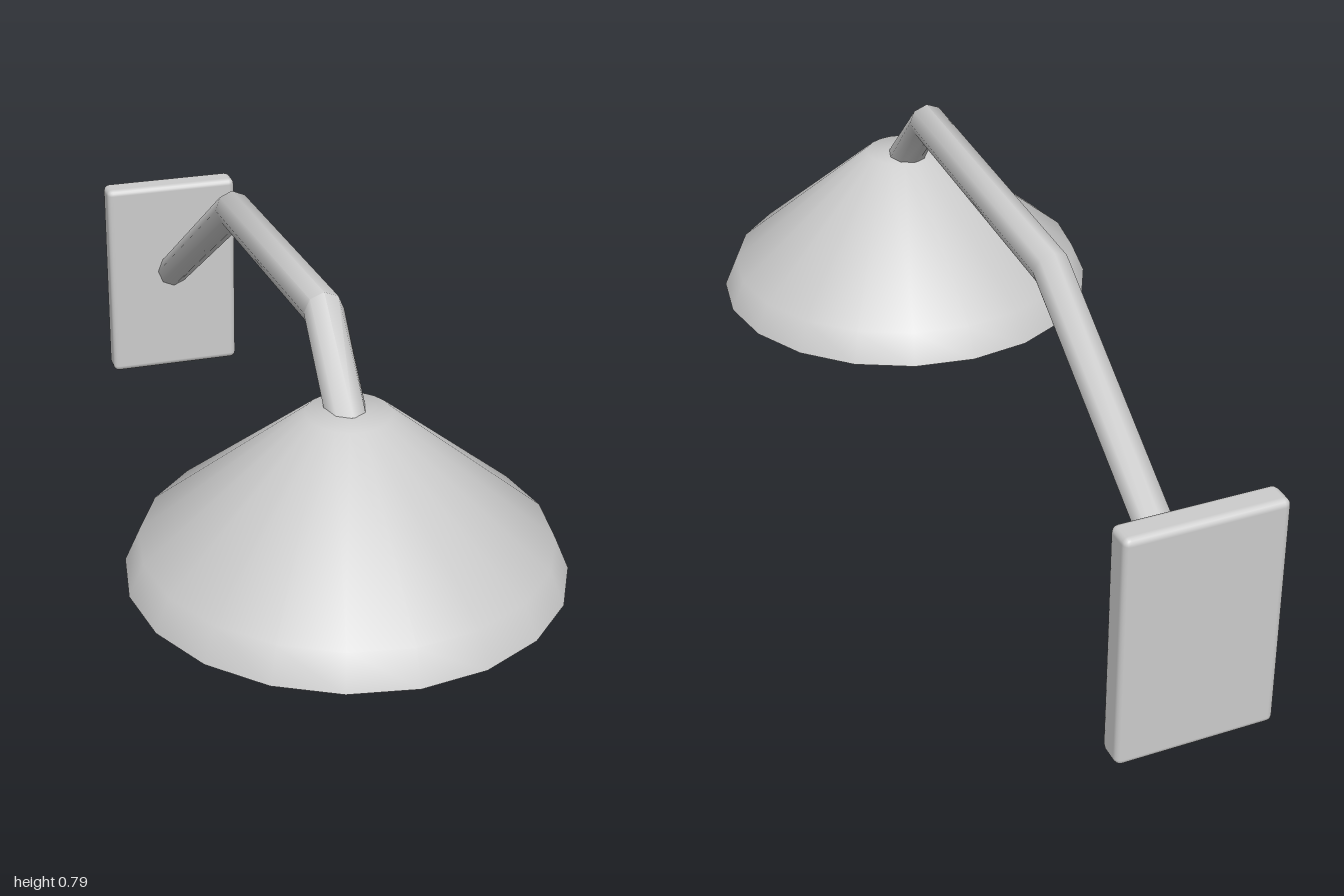
import * as THREE from 'three';
import { toCreasedNormals } from 'three/addons/utils/BufferGeometryUtils.js';
import { RoundedBoxGeometry } from 'three/addons/geometries/RoundedBoxGeometry.js';

// Bent tube lofted through octagonal rings; each ring is [z top, y top, z bottom, y bottom]
function bentTube(rings, halfWidth, sides) {
  const positions = [];
  const index = [];
  for (const [zt, yt, zb, yb] of rings) {
    for (let i = 0; i < sides; i++) {
      const a = (i / sides) * Math.PI * 2;
      const s = Math.sin(a) / 2;
      positions.push(halfWidth * Math.cos(a), (yt + yb) / 2 + (yt - yb) * s, (zt + zb) / 2 + (zt - zb) * s);
    }
  }
  for (let k = 0; k < rings.length - 1; k++) {
    for (let i = 0; i < sides; i++) {
      const a = k * sides + i;
      const b = k * sides + ((i + 1) % sides);
      index.push(a, b, b + sides, a, b + sides, a + sides);
    }
  }
  // Fan caps at both ends
  const last = (rings.length - 1) * sides;
  for (let i = 1; i < sides - 1; i++) {
    index.push(0, i + 1, i, last, last + i, last + i + 1);
  }
  const geometry = new THREE.BufferGeometry();
  geometry.setAttribute('position', new THREE.Float32BufferAttribute(positions, 3));
  geometry.setIndex(index);
  return toCreasedNormals(geometry, 1.0);
}

// Closed turned part from [radius, y] points, listed bottom to top
function turned(points, sides) {
  const profile = points.map(([r, y]) => new THREE.Vector2(r, y));
  return toCreasedNormals(new THREE.LatheGeometry(profile, sides), 0.82);
}

export function createModel() {
  const lamp = new THREE.Group();
  lamp.name = 'wallLamp';

  const grey = new THREE.MeshStandardMaterial({ color: 0xcccccc });
  grey.name = 'light grey';

  function add(name, geometry, x = 0, y = 0, z = 0) {
    const mesh = new THREE.Mesh(geometry, grey);
    mesh.name = name;
    mesh.position.set(x, y, z);
    lamp.add(mesh);
  }

  // Wall plate with softened edges
  add('wallPlate', new RoundedBoxGeometry(0.34, 0.52, 0.065, 2, 0.015), 0, 0.26, -0.967);

  // Arm rising from the plate, running forward and dipping into the shade
  add('arm', bentTube([
    [-0.96, 0.31, -0.96, 0.22],
    [-0.32, 0.735, -0.295, 0.655],
    [0.385, 0.785, 0.385, 0.705],
    [0.58, 0.605, 0.52, 0.545],
  ], 0.042, 8));

  // Conical shade with a steeper rim and flat ends
  add('shade', turned([[0, 0.26], [0.445, 0.26], [0.415, 0.33], [0.086, 0.604], [0, 0.604]], 20), 0, 0, 0.552);

  // Bulb tapering to a shallow point
  add('bulb', turned([[0, 0.175], [0.068, 0.19], [0.094, 0.262], [0, 0.29]], 8), 0, 0, 0.552);

  return lamp;
}
